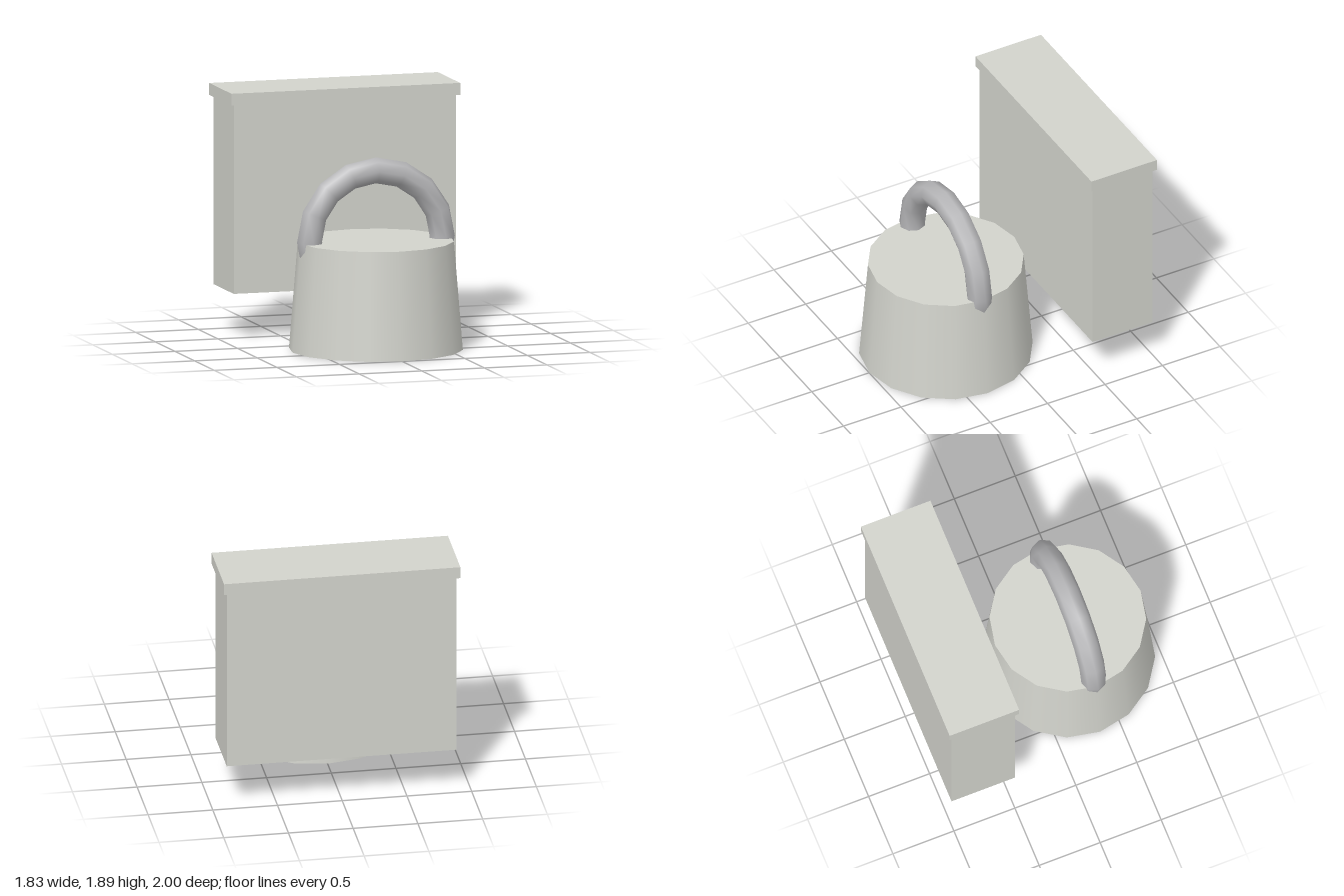
import * as THREE from 'three';

export function createModel() {
  const group = new THREE.Group();
  const stone = new THREE.MeshStandardMaterial({ color: 0xd2d3cc });
  const metal = new THREE.MeshStandardMaterial({ color: 0xb6b6b8 });

  const add = (name, geometry, material, x, y, z) => {
    const mesh = new THREE.Mesh(geometry, material);
    mesh.name = name;
    mesh.position.set(x, y, z);
    group.add(mesh);
    return mesh;
  };

  // Tapered weight body, 16 sides with smooth normals
  const bodyHeight = 0.835, bodyZ = 0.333;
  add('weightBody', new THREE.CylinderGeometry(0.597, 0.665, bodyHeight, 16), stone, 0, bodyHeight / 2, bodyZ);

  // Ring handle: the arc runs one segment past horizontal so its ends sink into the body
  const step = Math.PI / 8;
  const handle = add('handle', new THREE.TorusGeometry(0.53, 0.1, 8, 10, step * 10), metal, 0, 0.845, bodyZ);
  handle.rotation.z = -step;

  // Upright slab behind, with an overhanging cap
  add('slab', new THREE.BoxGeometry(1.776, 1.455, 0.522), stone, 0, 1.0755, -0.714);
  add('slabCap', new THREE.BoxGeometry(1.826, 0.092, 0.57), stone, 0, 1.849, -0.715);

  return group;
}
